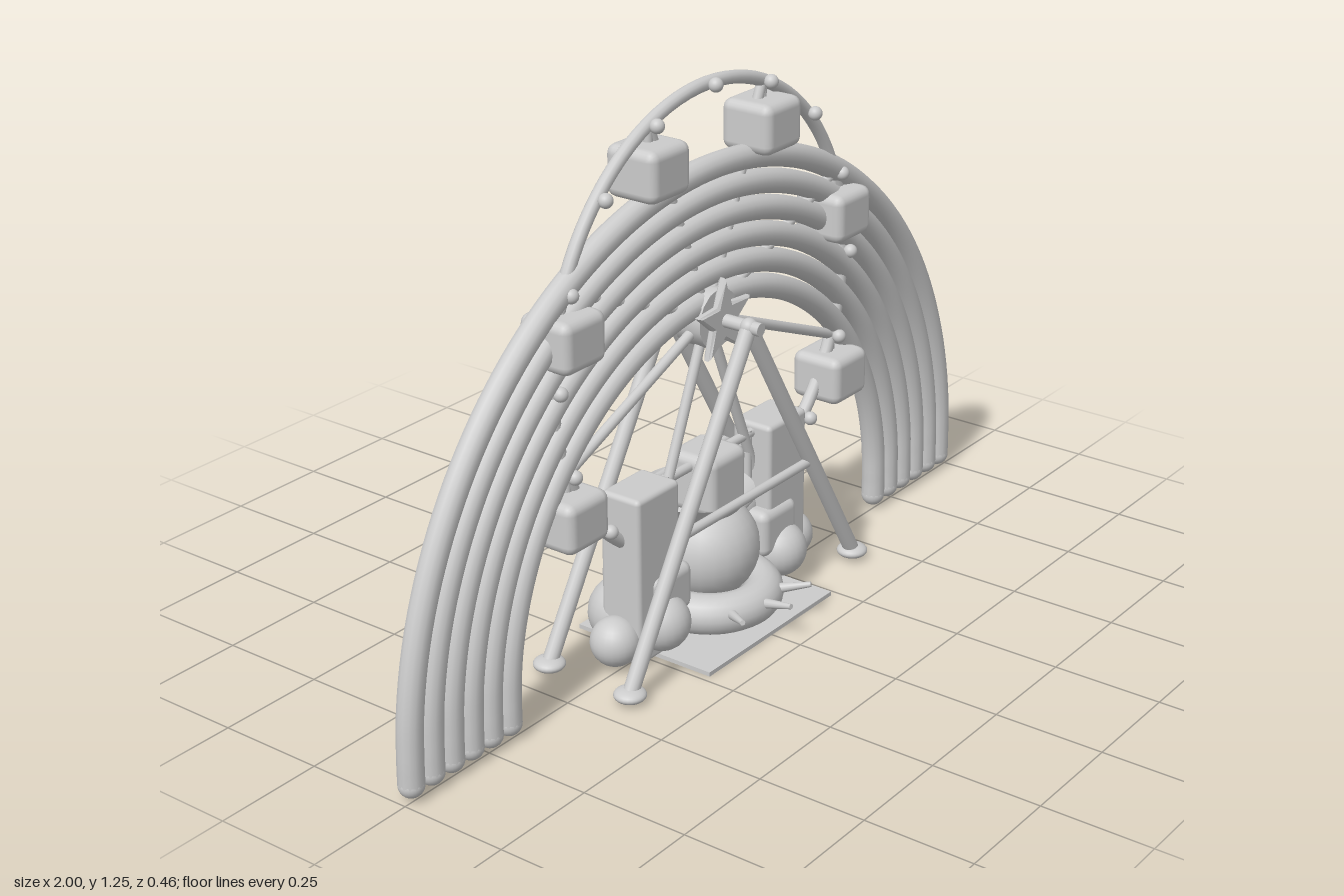
import * as THREE from 'three';
import { RoundedBoxGeometry } from 'three/addons/geometries/RoundedBoxGeometry.js';

const MID = -0.007; // depth of the arch and wheel plane
const HUB = 0.72; // wheel centre height
const RIM = 0.518; // wheel radius
const V = (x, y, z) => new THREE.Vector3(x, y, z);

export function createModel() {
  const model = new THREE.Group();
  const mat = new THREE.MeshStandardMaterial({ color: 0xcccccc });
  const thin = new THREE.MeshStandardMaterial({ color: 0xcccccc, side: THREE.DoubleSide });

  const add = (name, geo, pos = [0, 0, 0], material = mat) => {
    const mesh = new THREE.Mesh(geo, material);
    mesh.name = name;
    mesh.position.set(...pos);
    model.add(mesh);
    return mesh;
  };
  const ball = (name, r, pos) => add(name, new THREE.SphereGeometry(r, 24, 16), pos);
  const rod = (name, a, b, r, rEnd = r) => {
    const dir = b.clone().sub(a);
    const mesh = add(name, new THREE.CylinderGeometry(rEnd, r, dir.length(), 14),
      a.clone().add(b).multiplyScalar(0.5).toArray());
    mesh.quaternion.setFromUnitVectors(V(0, 1, 0), dir.normalize());
    return mesh;
  };

  // Rainbow: six nested arches with short straight feet and round ends
  for (let i = 0; i < 6; i++) {
    const r = 0.972 - i * 0.0587;
    const path = new THREE.CurvePath();
    path.add(new THREE.LineCurve3(V(r, 0.035, MID), V(r, 0.08, MID)));
    const arc = [];
    for (let k = 0; k <= 32; k++) {
      const a = (k / 32) * Math.PI;
      arc.push(V(r * Math.cos(a), 0.08 + r * Math.sin(a), MID));
    }
    path.add(new THREE.CatmullRomCurve3(arc));
    path.add(new THREE.LineCurve3(V(-r, 0.08, MID), V(-r, 0.035, MID)));
    add('rainbowBand', new THREE.TubeGeometry(path, 96, 0.028, 14));
    for (const s of [-1, 1]) ball('rainbowEnd', 0.028, [s * r, 0.035, MID]);
  }

  // Wheel rim, lights, spokes and gondolas
  add('wheelRim', new THREE.TorusGeometry(RIM, 0.015, 12, 96), [0, HUB, MID]);
  for (let i = 0; i < 16; i++) {
    const a = (i / 16) * Math.PI * 2;
    const x = RIM * Math.sin(a), y = HUB + RIM * Math.cos(a);
    ball('rimLight', 0.016, [x, y, MID + 0.024]);
    if (i % 2 === 0) continue;
    rod('spoke', V(0, HUB, MID), V(x, y, MID), 0.012);
    rod('gondolaHanger', V(x, y, MID), V(x, y - 0.06, MID), 0.01);
    add('gondola', new RoundedBoxGeometry(0.132, 0.114, 0.13, 2, 0.022), [x, y - 0.093, MID]);
  }

  // Hub, axle and star ornament
  rod('axle', V(0, HUB, 0.137), V(0, HUB, -0.152), 0.015);
  rod('hub', V(0, HUB, -0.045), V(0, HUB, 0.025), 0.068);
  const star = new THREE.Shape();
  for (let i = 0; i < 10; i++) {
    const r = i % 2 ? 0.036 : 0.088, a = Math.PI / 2 + (i * Math.PI) / 5;
    star[i ? 'lineTo' : 'moveTo'](r * Math.cos(a), r * Math.sin(a));
  }
  star.closePath();
  add('star', new THREE.ExtrudeGeometry(star, {
    depth: 0.01, bevelEnabled: true, bevelSize: 0.006, bevelThickness: 0.005, bevelSegments: 1,
  }), [0, HUB, 0.03]);

  // Two A-shaped stands with feet and cross bars
  for (const z of [0.105, -0.117]) {
    for (const s of [-1, 1]) {
      rod('standLeg', V(s * 0.42, 0.02, z), V(0, HUB, z), 0.018);
      ball('standFoot', 0.036, [s * 0.42, 0.02, z]).scale.y = 0.45;
    }
    rod('standBar', V(-0.245, 0.318, z), V(0.245, 0.318, z), 0.011);
    ball('standApex', 0.02, [0, HUB, z]);
  }

  // Base plate, pillars and gate
  add('basePlate', new THREE.BoxGeometry(0.464, 0.01, 0.362), [0, 0.005, -0.007]);
  for (const s of [-1, 1]) {
    add('pillar', new RoundedBoxGeometry(0.145, 0.395, 0.105, 2, 0.012), [s * 0.238, 0.21, MID]);
    rod('gatePost', V(s * 0.153, 0.02, MID), V(s * 0.153, 0.395, MID), 0.01);
  }
  rod('gateBar', V(-0.165, 0.385, MID), V(0.165, 0.385, MID), 0.011);
  add('centreCabin', new RoundedBoxGeometry(0.132, 0.14, 0.13, 2, 0.022), [0, 0.34, MID]);

  // Saucer: round body, belt, flared cup and spikes
  ball('saucerBody', 0.122, [0, 0.17, -0.01]);
  const belt = add('saucerBelt', new THREE.TorusGeometry(0.122, 0.046, 16, 48), [0, 0.062, 0]);
  belt.rotation.x = Math.PI / 2;
  add('saucerCup', new THREE.CylinderGeometry(0.13, 0.085, 0.055, 36, 1, true), [0, 0.275, -0.035], thin);
  for (const deg of [-2, 27, 78, 125, 167, -154, -110, -72, -35]) {
    const a = THREE.MathUtils.degToRad(deg), x = Math.sin(a), z = Math.cos(a);
    rod('spike', V(x * 0.14, 0.072, z * 0.14), V(x * 0.23, 0.092, z * 0.23), 0.013, 0.006);
  }

  // Cloud of overlapping puffs: half-width, height, depth, radius
  const puffs = [
    [0, 0.15, -0.115, 0.088], [0.13, 0.13, -0.1, 0.08], [0.065, 0.245, -0.1, 0.066],
    [0.07, 0.09, -0.12, 0.07], [0.235, 0.09, -0.055, 0.082], [0.325, 0.068, -0.01, 0.056],
    [0.16, 0.2, -0.06, 0.07], [0.22, 0.085, 0.035, 0.065],
  ];
  for (const [x, y, z, r] of puffs) {
    for (const s of x ? [-1, 1] : [1]) ball('cloudPuff', r, [s * x, y, z]);
  }
  return model;
}
